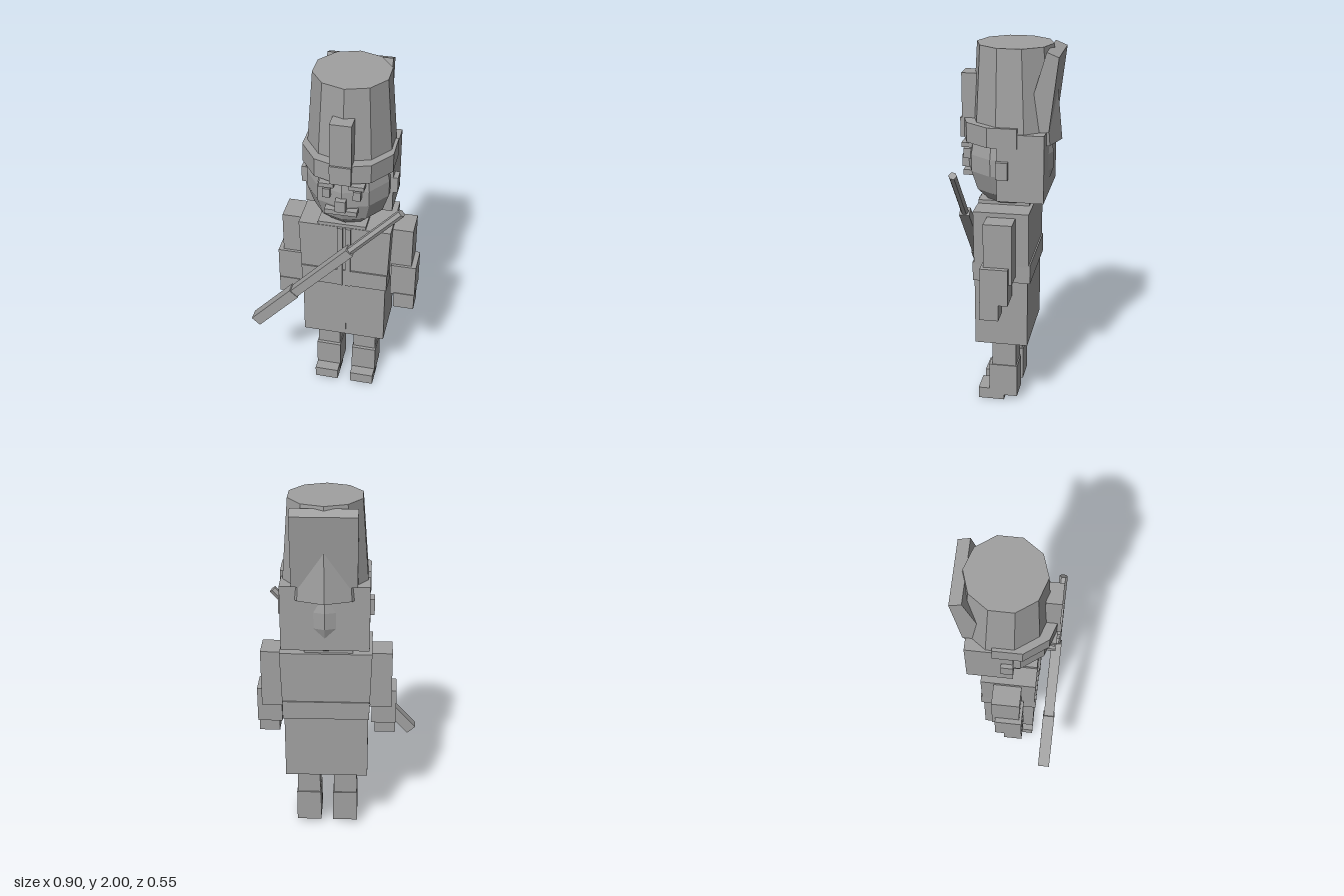
import * as THREE from 'three';

const CX = 0.06; // body centre line

export function createModel() {
  const model = new THREE.Group();
  model.name = 'toySoldier';
  const grey = new THREE.MeshStandardMaterial({ color: 0xa0a0a0, flatShading: true });
  grey.name = 'plainGrey';

  const add = (name, geometry, parent = model) => {
    const mesh = new THREE.Mesh(geometry, grey);
    mesh.name = name;
    parent.add(mesh);
    return mesh;
  };
  // Box given by its limits, with x measured from the body centre line
  const box = (name, x0, x1, y0, y1, z0, z1) => {
    const g = new THREE.BoxGeometry(x1 - x0, y1 - y0, z1 - z0);
    g.translate(CX + (x0 + x1) / 2, (y0 + y1) / 2, (z0 + z1) / 2);
    return add(name, g);
  };
  const pair = (name, x0, x1, ...rest) => {
    box(name + 'Left', x0, x1, ...rest);
    box(name + 'Right', -x1, -x0, ...rest);
  };

  // Legs, boots and feet
  pair('leg', 0.04, 0.17, 0.2, 0.4, -0.058, 0.075);
  pair('boot', 0.035, 0.175, 0.03, 0.22, -0.065, 0.093);
  pair('foot', 0.038, 0.173, 0, 0.065, 0.01, 0.155);

  // Coat
  box('coatSkirt', -0.232, 0.23, 0.385, 0.77, -0.13, 0.157);
  box('belt', -0.238, 0.238, 0.76, 0.865, -0.145, 0.165);
  const torso = new THREE.BoxGeometry(0.5, 0.3, 0.295);
  const p = torso.attributes.position;
  for (let i = 0; i < p.count; i++) if (p.getY(i) < 0) p.setX(i, p.getX(i) * 0.96);
  torso.translate(CX, 1.005, 0.01);
  add('torso', torso);
  box('collar', -0.145, 0.115, 1.14, 1.175, -0.12, 0.155);
  pair('coatTrim', 0.008, 0.036, 0.76, 1.155, 0.15, 0.17);
  box('skirtTrim', -0.02, 0.012, 0.425, 0.76, 0.15, 0.163);

  // Arms
  pair('upperArm', 0.24, 0.36, 0.8, 1.13, -0.068, 0.083);
  pair('cuff', 0.25, 0.387, 0.69, 0.893, -0.05, 0.098);
  pair('hand', 0.27, 0.385, 0.6, 0.7, 0, 0.102);

  // Ten-sided head with block of hair behind
  const profile = [[0, 1.17], [0.13, 1.17], [0.195, 1.235], [0.23, 1.34], [0.23, 1.43], [0.215, 1.51], [0, 1.51]];
  const head = new THREE.LatheGeometry(profile.map(([r, y]) => new THREE.Vector2(r, y)), 10);
  head.translate(CX, 0, 0);
  add('head', head);
  box('hair', -0.235, 0.233, 1.213, 1.573, -0.211, 0.034);
  pair('ear', 0.2, 0.258, 1.338, 1.43, -0.027, 0.036);

  // Face
  pair('eyebrow', 0.04, 0.118, 1.463, 1.487, 0.18, 0.242);
  pair('eye', 0.06, 0.1, 1.397, 1.45, 0.18, 0.236);
  box('nose', -0.03, 0.026, 1.328, 1.394, 0.19, 0.258);
  box('moustache', -0.088, 0.083, 1.3, 1.328, 0.18, 0.242);

  // Tall hat: ten-sided, leaning slightly
  const hat = new THREE.CylinderGeometry(0.201, 0.24, 0.5, 10);
  const hp = hat.attributes.position;
  for (let i = 0; i < hp.count; i++) hp.setZ(i, hp.getZ(i) - (hp.getY(i) > 0 ? 0.025 : 0.034));
  hat.translate(CX, 1.75, 0);
  add('hat', hat);

  // Band round the front of the hat
  const bandPoints = [];
  for (let i = -3; i <= 3; i++) {
    const a = i * Math.PI / 5;
    bandPoints.push(new THREE.Vector2(0.25 * Math.sin(a), -0.005 - 0.25 * Math.cos(a)));
  }
  const band = new THREE.ExtrudeGeometry(new THREE.Shape(bandPoints), { depth: 0.105, bevelEnabled: false });
  band.rotateX(-Math.PI / 2).translate(CX, 1.5, 0);
  add('hatBand', band);

  // Hat badge and rear flap
  box('hatBadge', -0.058, 0.054, 1.58, 1.842, 0.17, 0.25);
  box('badgeBase', -0.058, 0.054, 1.5, 1.605, 0.2, 0.26);
  const flapPoints = [[-0.21, 1.985], [-0.14, 1.75], [-0.17, 1.575], [-0.225, 1.575], [-0.272, 1.96]];
  const flap = new THREE.ExtrudeGeometry(
    new THREE.Shape(flapPoints.map(([z, y]) => new THREE.Vector2(z, y))),
    { depth: 0.342, bevelEnabled: false });
  flap.rotateY(-Math.PI / 2).translate(CX + 0.171, 0, 0);
  add('hatFlap', flap);

  // Musket held across the chest, built upright from the butt
  const musket = new THREE.Group();
  musket.name = 'musket';
  musket.position.set(-0.428, 0.488, 0.245);
  musket.rotation.z = -0.74;
  model.add(musket);
  add('stock', new THREE.BoxGeometry(0.062, 0.34, 0.064).translate(0, 0.17, 0), musket);
  add('foreStock', new THREE.BoxGeometry(0.05, 0.47, 0.056).translate(0, 0.565, 0), musket);
  add('barrel', new THREE.CylinderGeometry(0.022, 0.022, 0.43, 6).translate(0, 0.975, 0), musket);

  return model;
}
